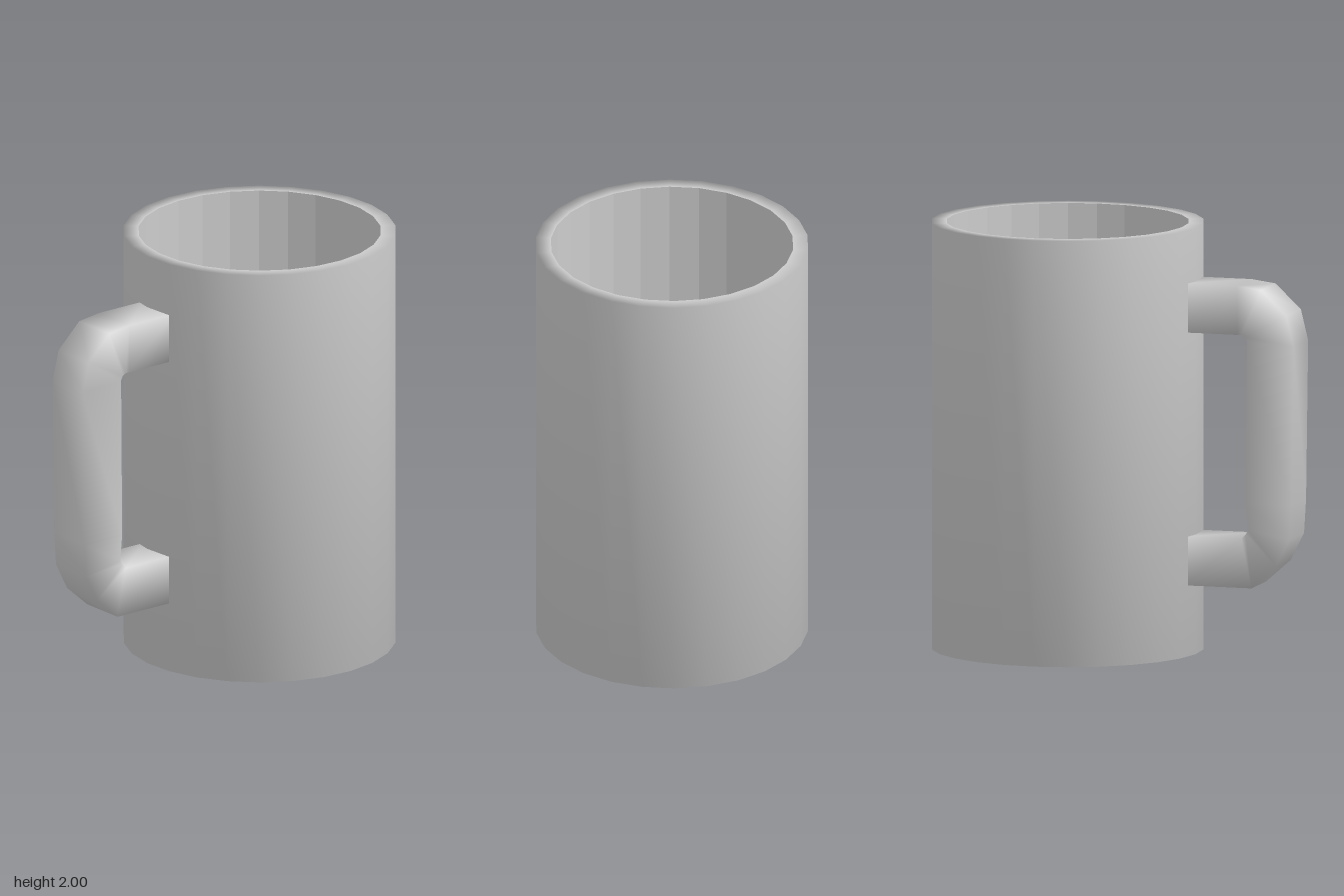
import * as THREE from 'three';

const CENTRE_Z = -0.25;
const SIDES = 26;
const grey = (options = {}) => new THREE.MeshStandardMaterial({ color: 0xcccccc, ...options });

// Revolves a [radius, height] profile around the cup's axis
function revolve(name, profile, material) {
  const points = profile.map(([r, y]) => new THREE.Vector2(r, y));
  const mesh = new THREE.Mesh(new THREE.LatheGeometry(points, SIDES, -0.06), material);
  mesh.name = name;
  mesh.position.z = CENTRE_Z;
  return mesh;
}

// Sweeps a rectangular section through stations of [outer z, outer y, inner z, inner y]
function createHandle() {
  const half = 0.113;
  const stations = [
    [0.35, 1.75, 0.35, 1.52],
    [0.61, 1.75, 0.61, 1.52],
    [0.727, 1.735, 0.63, 1.52],
    [0.85, 1.618, 0.648, 1.512],
    [0.885, 1.475, 0.658, 1.49],
    [0.875, 0.73, 0.652, 0.73],
    [0.865, 0.57, 0.663, 0.605],
    [0.8, 0.44, 0.652, 0.585],
    [0.68, 0.333, 0.631, 0.562],
    [0.35, 0.333, 0.35, 0.562],
  ];
  const positions = [];
  const indices = [];
  stations.forEach(([oz, oy, iz, iy], s) => {
    positions.push(half, oy, oz, -half, oy, oz, -half, iy, iz, half, iy, iz);
    if (s === 0) return;
    for (let k = 0; k < 4; k++) {
      const a = (s - 1) * 4 + k;
      const b = (s - 1) * 4 + (k + 1) % 4;
      indices.push(a, b, a + 4, b, b + 4, a + 4);
    }
  });
  const geometry = new THREE.BufferGeometry();
  geometry.setAttribute('position', new THREE.Float32BufferAttribute(positions, 3));
  geometry.setIndex(indices);
  geometry.computeVertexNormals();
  const mesh = new THREE.Mesh(geometry, grey());
  mesh.name = 'handle';
  return mesh;
}

export function createModel() {
  const model = new THREE.Group();
  model.name = 'mug';

  // Outer wall with base and rim
  model.add(revolve('body', [[0, 0], [0.635, 0], [0.635, 2], [0.565, 2]], grey()));

  // Faceted inner wall and floor
  model.add(revolve('interior', [[0.565, 2], [0.565, 0.1], [0, 0.1]], grey({ flatShading: true })));

  model.add(createHandle());
  return model;
}
